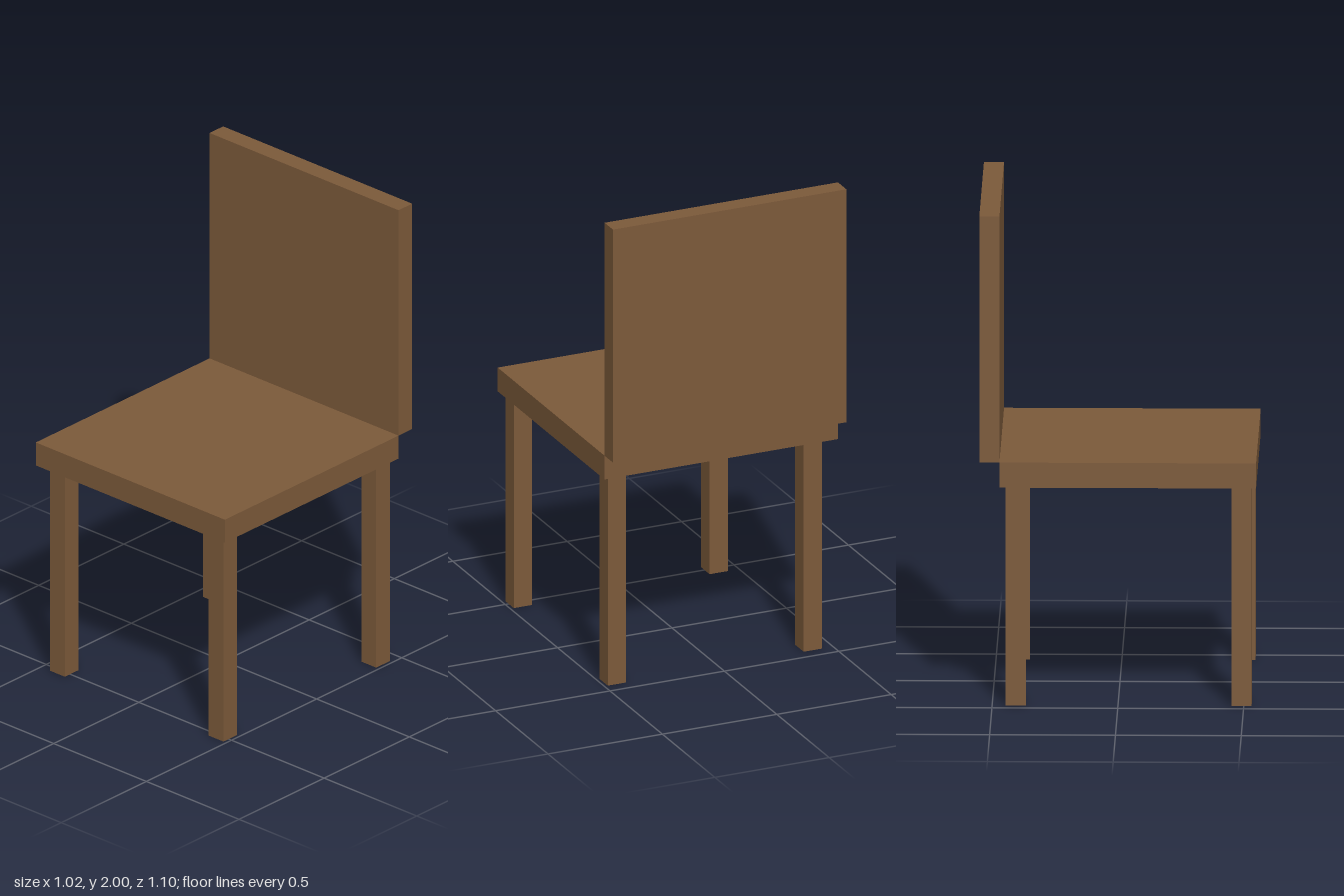
import * as THREE from 'three';

const wood = new THREE.MeshStandardMaterial({ color: 0x7c5a3a });
wood.name = 'brown wood';

// Box given by its [min, max] range on each axis
function board(name, [x0, x1], [y0, y1], [z0, z1]) {
  const mesh = new THREE.Mesh(new THREE.BoxGeometry(x1 - x0, y1 - y0, z1 - z0), wood);
  mesh.position.set((x0 + x1) / 2, (y0 + y1) / 2, (z0 + z1) / 2);
  mesh.name = name;
  return mesh;
}

export function createModel() {
  const chair = new THREE.Group();
  chair.name = 'chair';

  const width = [-0.51, 0.51];
  const seatTop = 1, seatBottom = 0.898, seatRear = -0.47;

  // Seat slab and the upright panel standing behind its rear edge
  chair.add(board('seat', width, [seatBottom, seatTop], [seatRear, 0.55]));
  chair.add(board('backrest', width, [seatTop, 2], [-0.55, seatRear]));

  // Four square legs, set slightly off centre under the seat
  const sides = { Right: [-0.451, -0.371], Left: [0.405, 0.485] };
  const rows = { front: [0.451, 0.531], back: [-0.446, -0.366] };
  for (const [row, z] of Object.entries(rows)) {
    for (const [side, x] of Object.entries(sides)) {
      chair.add(board(`${row}${side}Leg`, x, [0, seatBottom], z));
    }
  }

  return chair;
}
